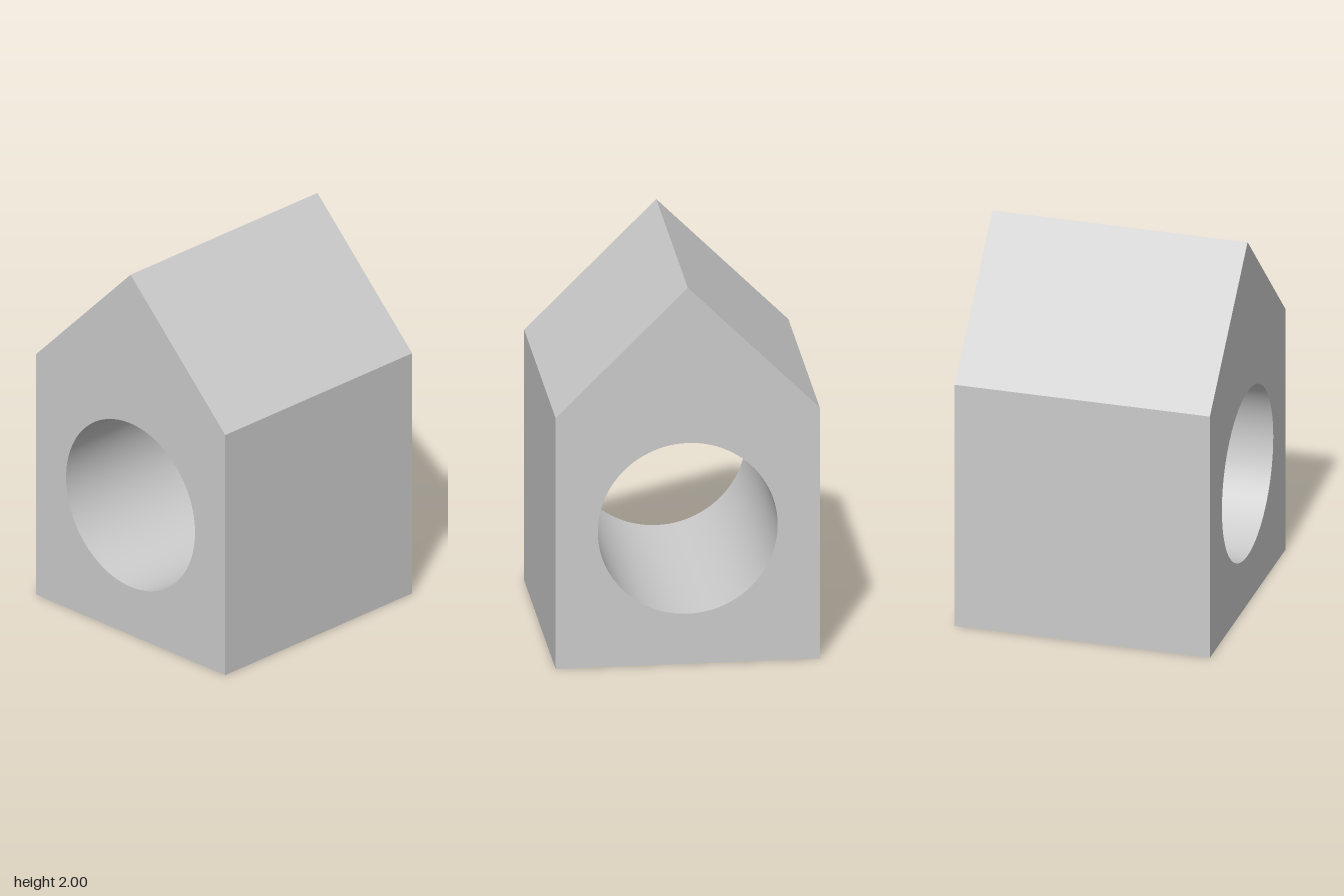
import * as THREE from 'three';
import { toCreasedNormals } from 'three/addons/utils/BufferGeometryUtils.js';

const HALF_WIDTH = 2 / 3;
const DEPTH = 4 / 3;
const EAVES = 4 / 3;
const RIDGE = 2;
const HOLE_Y = 0.72;
const HOLE_RADIUS = 0.454;

export function createModel() {
  const group = new THREE.Group();
  group.name = 'gabledBlock';

  // Gabled house outline
  const outline = new THREE.Shape();
  outline.moveTo(-HALF_WIDTH, 0);
  outline.lineTo(HALF_WIDTH, 0);
  outline.lineTo(HALF_WIDTH, EAVES);
  outline.lineTo(0, RIDGE);
  outline.lineTo(-HALF_WIDTH, EAVES);
  outline.closePath();

  // Round bore running from front to back
  const bore = new THREE.Path();
  bore.absarc(0, HOLE_Y, HOLE_RADIUS, 0, Math.PI * 2, true);
  outline.holes.push(bore);

  const geometry = new THREE.ExtrudeGeometry(outline, {
    depth: DEPTH,
    bevelEnabled: false,
    curveSegments: 48,
  });
  geometry.translate(0, 0, -DEPTH / 2);

  // Smooth bore, sharp outer edges
  const body = new THREE.Mesh(
    toCreasedNormals(geometry, 0.5),
    new THREE.MeshStandardMaterial({ color: 0xcccccc })
  );
  body.name = 'houseBodyWithBore';
  group.add(body);

  return group;
}
